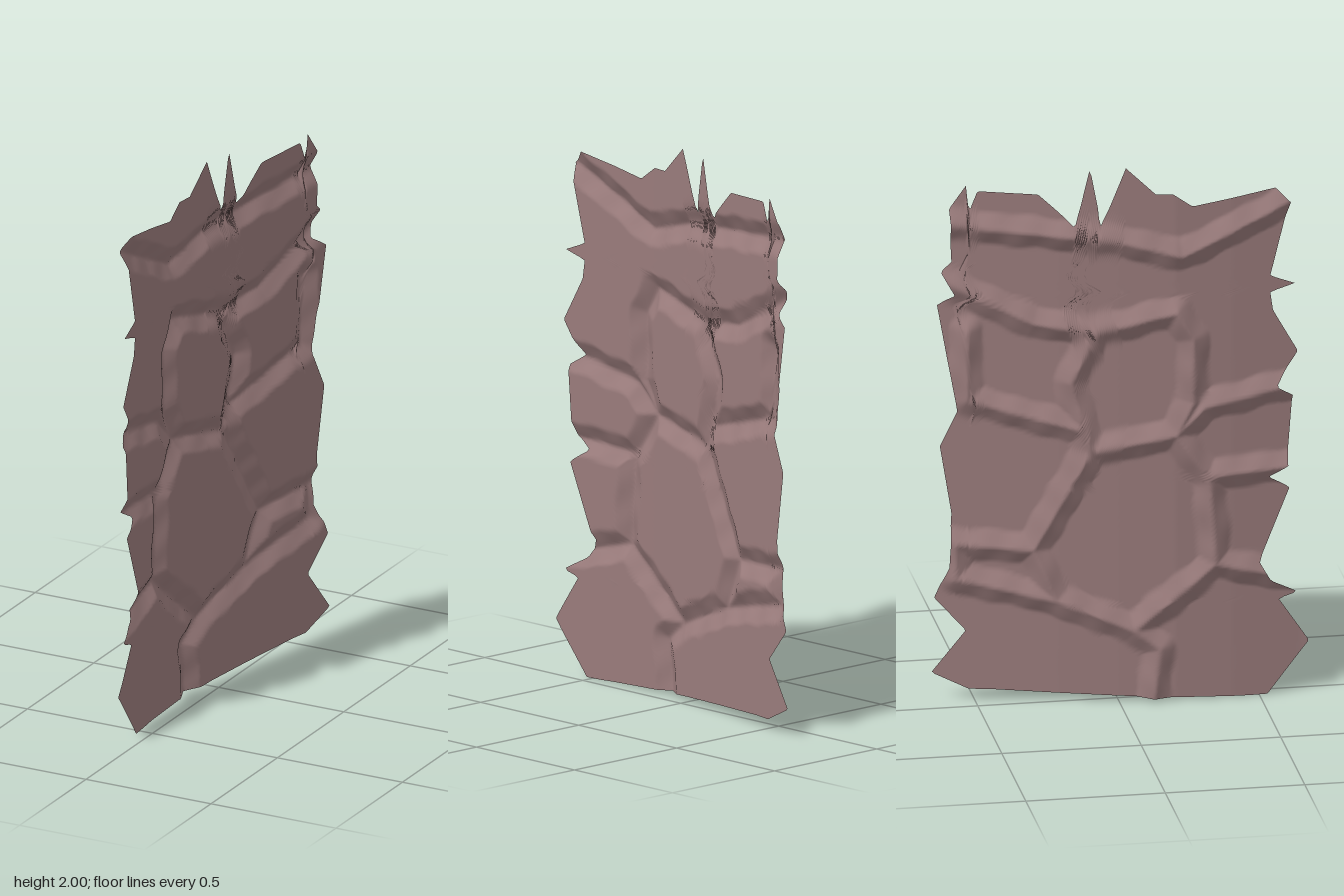
import * as THREE from 'three';

// Piecewise-linear lookup through [key, value] pairs with rising keys
function sample(points, t) {
  if (t <= points[0][0]) return points[0][1];
  for (let i = 1; i < points.length; i++) {
    const [a, va] = points[i - 1], [b, vb] = points[i];
    if (t <= b) return va + (vb - va) * (t - a) / (b - a);
  }
  return points[points.length - 1][1];
}

// Ragged outline: side edges as [y, z], top and bottom as [-z, y]
const leftEdge = [[0, .53], [.19, .68], [.355, .57], [.375, .64], [.43, .54], [.5, .5], [.77, .61], [.82, .53],
  [.86, .6], [1.12, .62], [1.16, .56], [1.28, .64], [1.44, .55], [1.51, .54], [1.535, .63], [1.57, .54], [1.85, .61]];
const rightEdge = [[.04, -.52], [.1, -.65], [.26, -.53], [.38, -.64], [.5, -.59], [.7, -.58], [.95, -.62],
  [1.08, -.56], [1.48, -.63], [1.52, -.57], [1.61, -.62], [1.64, -.58], [1.86, -.59]];
const topEdge = [[-.6, 1.85], [-.55, 1.9], [-.25, 1.85], [-.18, 1.9], [-.12, 1.9], [-.015, 2], [.07, 1.78],
  [.11, 2], [.16, 1.78], [.29, 1.9], [.5, 1.91], [.53, 1.83], [.54, 1.93], [.6, 1.84]];
const bottomEdge = [[-.53, 0], [-.2, .01], [.52, .04]];

// Plan bend of the whole sheet as [z, x]
const bend = [[-.65, .085], [-.2, -.008], [0, -.045], [.2, -.07], [.4, -.071], [.65, -.055]];

// Joints between the stones as runs of z, y pairs
const joints = [
  [.2, 1, -.1, .94, -.3, .57, -.22, .38, .05, .27, .34, .51, .32, .82, .2, 1],
  [.2, 1, .26, 1.12, .26, 1.36, .2, 1.46, -.08, 1.39, -.17, 1.2, -.1, .94],
  [-.08, 1.39, -.3, 1.42, -.62, 1.58],
  [-.13, 1.02, -.53, 1.13, -.53, 1.39],
  [.65, 1.17, .3, 1.1, .2, 1],
  [.65, .86, .32, .84],
  [.65, .43, .34, .51],
  [-.3, .57, -.57, .59, -.57, .46, -.22, .38],
  [.05, .27, .14, .2, .12, 0],
  [.6, 1.85, .22, 1.67, 0, 1.73, -.62, 1.79],
];
const segments = joints.flatMap((run) => {
  const lines = [];
  for (let i = 0; i + 3 < run.length; i += 2) {
    lines.push(new THREE.Line3(new THREE.Vector3(0, run[i + 1], run[i]), new THREE.Vector3(0, run[i + 3], run[i + 2])));
  }
  return lines;
});

// Flat stone faces with sloping, slightly chipped rims down to the joints
const nearest = new THREE.Vector3();
function relief(z, y) {
  const point = new THREE.Vector3(0, y, z);
  const distance = Math.min(...segments.map((line) => line.closestPointToPoint(point, true, nearest).distanceTo(point)));
  const chipped = distance + .006 * Math.sin(38 * z + 9 * y) * Math.sin(31 * y - 7 * z);
  return -.02 + .034 * THREE.MathUtils.clamp(chipped / .06, 0, 1);
}

// Grid stretched between the four ragged edges, bent in plan
function sheetGeometry(columns, rows) {
  const positions = [], index = [];
  for (let j = 0; j <= rows; j++) {
    for (let i = 0; i <= columns; i++) {
      const u = i / columns;
      const across = -.6 + 1.2 * u;
      const y = THREE.MathUtils.lerp(sample(bottomEdge, across), sample(topEdge, across), j / rows);
      const z = THREE.MathUtils.lerp(sample(leftEdge, y), sample(rightEdge, y), u);
      positions.push(sample(bend, z) + relief(z, y), y, z);
      if (i < columns && j < rows) {
        const a = j * (columns + 1) + i, b = a + columns + 1;
        index.push(a, a + 1, b, a + 1, b + 1, b);
      }
    }
  }
  const geometry = new THREE.BufferGeometry();
  geometry.setAttribute('position', new THREE.Float32BufferAttribute(positions, 3));
  geometry.setIndex(index);
  geometry.computeVertexNormals();
  return geometry;
}

export function createModel() {
  const group = new THREE.Group();
  group.name = 'stoneWallFragment';
  const material = new THREE.MeshStandardMaterial({ color: 0x997b7b, side: THREE.DoubleSide });
  const sheet = new THREE.Mesh(sheetGeometry(160, 200), material);
  sheet.name = 'stoneSheet';
  group.add(sheet);
  return group;
}
